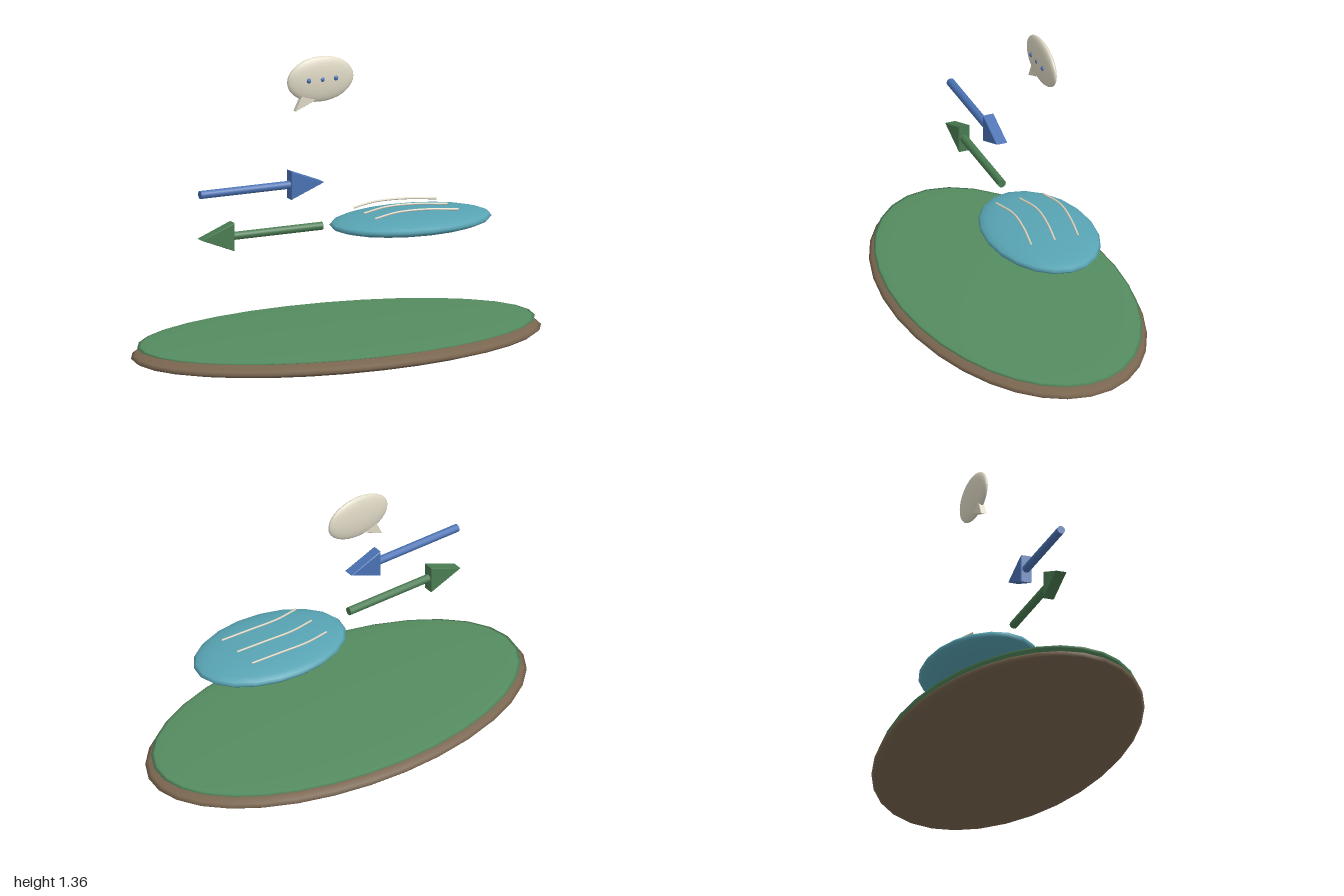
import * as THREE from 'three';

const mat = (color) => new THREE.MeshStandardMaterial({ color });
const earth = mat(0x7a6650), grass = mat(0x558c60), water = mat(0x58a4b4);
const blue = mat(0x4a72b4), green = mat(0x4a7c52), cream = mat(0xded8c4);

function add(parent, name, geometry, material, x = 0, y = 0, z = 0) {
  const mesh = new THREE.Mesh(geometry, material);
  mesh.name = name;
  mesh.position.set(x, y, z);
  parent.add(mesh);
  return mesh;
}

const ellipsoid = (rx, ry, rz, w, h) => new THREE.SphereGeometry(1, w, h).scale(rx, ry, rz);

// Flat triangle of the given thickness, centred on z = 0
function wedge(points, thickness) {
  const bevel = 0.003;
  const shape = new THREE.Shape(points.map(([x, y]) => new THREE.Vector2(x, y)));
  return new THREE.ExtrudeGeometry(shape, {
    depth: thickness - 2 * bevel, bevelThickness: bevel, bevelSize: bevel,
    bevelOffset: -bevel, bevelSegments: 1,
  }).translate(0, 0, bevel - thickness / 2);
}

// Arrow lying along x, pointing to +x
function makeArrow(name, material) {
  const arrow = new THREE.Group();
  arrow.name = name;
  const shaft = new THREE.CylinderGeometry(0.019, 0.019, 0.46, 12).rotateZ(-Math.PI / 2);
  add(arrow, 'arrowShaft', shaft, material, -0.077);
  add(arrow, 'arrowHead', wedge([[0.143, -0.066], [0.308, 0], [0.143, 0.066]], 0.052), material);
  return arrow;
}

export function createModel() {
  const model = new THREE.Group();
  model.name = 'islandScene';

  // Ground
  add(model, 'earthBase', ellipsoid(1, 0.06, 0.545, 32, 16), earth, 0, 0.06);
  add(model, 'grassTop', ellipsoid(0.97, 0.018, 0.525, 32, 16), grass, 0, 0.106);

  // Floating pond with three ripples
  const pond = new THREE.Group();
  pond.name = 'pond';
  pond.position.set(0.375, 0.588, 0);
  add(pond, 'pondWater', ellipsoid(0.39, 0.047, 0.255, 20, 12), water);
  const curve = new THREE.CatmullRomCurve3([
    [-0.235, 0.055, 0], [-0.105, 0.066, -0.028], [0.04, 0.066, -0.021], [0.185, 0.055, 0],
  ].map((p) => new THREE.Vector3(...p)));
  for (const z of [-0.114, 0, 0.116]) {
    add(pond, 'ripple', new THREE.TubeGeometry(curve, 20, 0.005, 6), cream, 0, 0, z);
  }
  model.add(pond);

  // Pair of opposing arrows
  const forward = makeArrow('blueArrow', blue);
  forward.position.set(-0.378, 0.817, 0);
  const back = makeArrow('greenArrow', green);
  back.position.set(-0.378, 0.608, 0);
  back.rotation.y = Math.PI;
  model.add(forward, back);

  // Speech bubble with tail and three dots
  const bubble = new THREE.Group();
  bubble.name = 'speechBubble';
  bubble.position.set(0, 1.25, -0.166);
  add(bubble, 'bubbleBody', ellipsoid(0.167, 0.106, 0.027, 24, 16), cream);
  add(bubble, 'bubbleTail', wedge([[-0.13, -0.138], [-0.025, -0.094], [-0.092, -0.06]], 0.027), cream);
  for (const x of [-0.068, 0, 0.068]) {
    add(bubble, 'bubbleDot', new THREE.SphereGeometry(0.012, 10, 8), blue, x, 0.002, 0.021);
  }
  model.add(bubble);

  return model;
}
